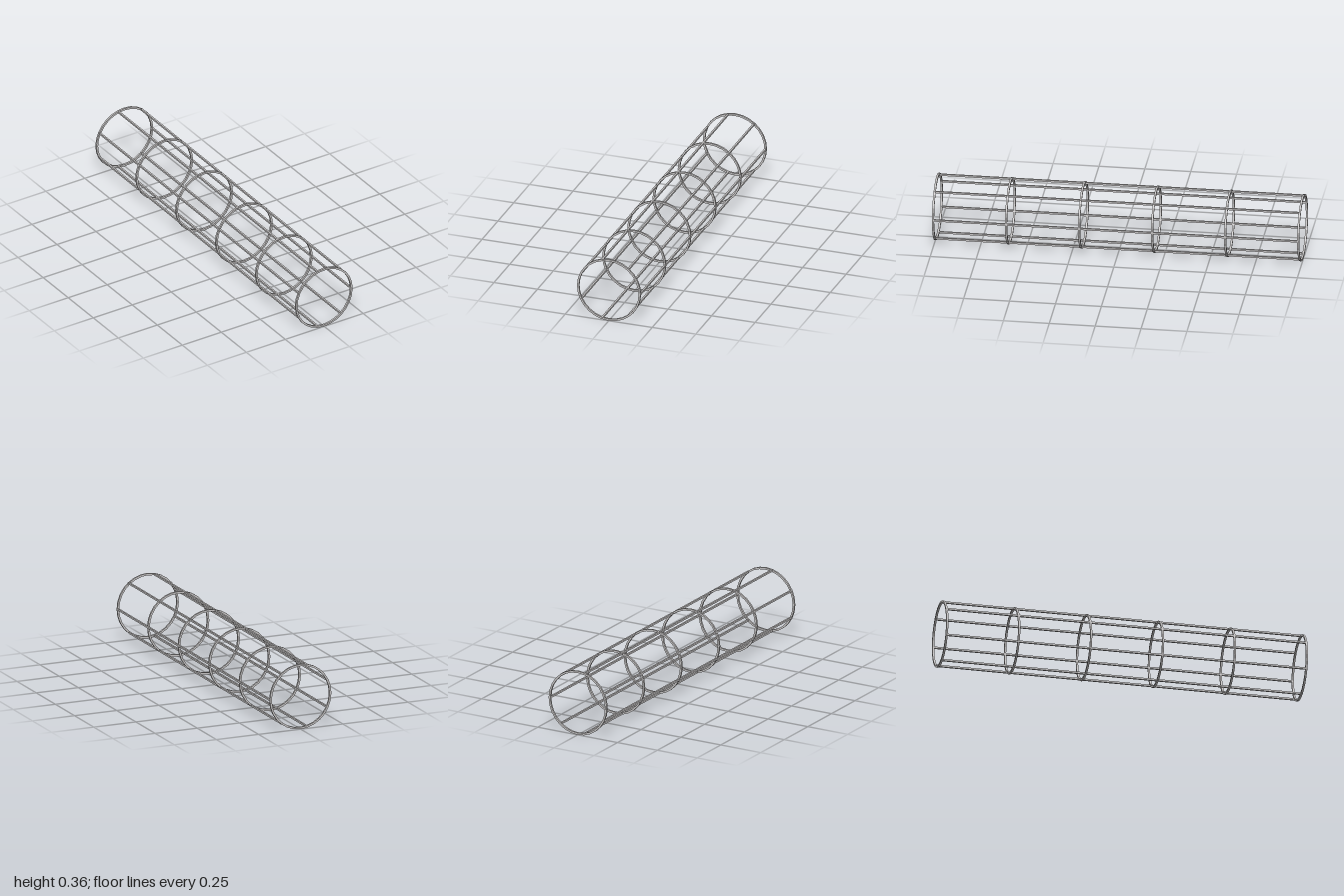
import * as THREE from 'three';

const RADIUS = 0.1767;     // centre line of the hoops
const HOOP_THICK = 0.011;  // square section of the hoops
const BAR_THICK = 0.01;    // square section of the bars
const HALF = 0.9945;       // z of the end hoops
const HOOPS = 6;
const BARS = 7;
const SIDES = 28;

// Regular polygon outline with a corner on the +x side
function polygon(radius) {
  return Array.from({ length: SIDES }, (_, i) => {
    const angle = (i / SIDES) * Math.PI * 2;
    return new THREE.Vector2(Math.cos(angle) * radius, Math.sin(angle) * radius);
  });
}

export function createModel() {
  const model = new THREE.Group();
  model.name = 'cylindricalCage';
  const steel = new THREE.MeshStandardMaterial({ color: 0xc4c2c2 });
  steel.name = 'light grey steel';

  const cage = new THREE.Group();
  cage.name = 'cage';
  cage.position.y = RADIUS + HOOP_THICK / 2;
  model.add(cage);

  // Evenly spaced flat-faced hoops along z
  const outline = new THREE.Shape(polygon(RADIUS + HOOP_THICK / 2));
  outline.holes.push(new THREE.Path(polygon(RADIUS - HOOP_THICK / 2)));
  const hoopGeometry = new THREE.ExtrudeGeometry(outline, { depth: HOOP_THICK, bevelEnabled: false });
  hoopGeometry.translate(0, 0, -HOOP_THICK / 2);
  for (let i = 0; i < HOOPS; i++) {
    const hoop = new THREE.Mesh(hoopGeometry, steel);
    hoop.name = `hoop${i + 1}`;
    hoop.position.z = -HALF + (2 * HALF * i) / (HOOPS - 1);
    cage.add(hoop);
  }

  // Square lengthwise bars spread around the hoops, the first on the +x side
  const barGeometry = new THREE.BoxGeometry(BAR_THICK, BAR_THICK, 2 * HALF);
  for (let i = 0; i < BARS; i++) {
    const angle = (i / BARS) * Math.PI * 2;
    const bar = new THREE.Mesh(barGeometry, steel);
    bar.name = `lengthwiseBar${i + 1}`;
    bar.position.set(Math.cos(angle) * RADIUS, Math.sin(angle) * RADIUS, 0);
    cage.add(bar);
  }

  return model;
}
